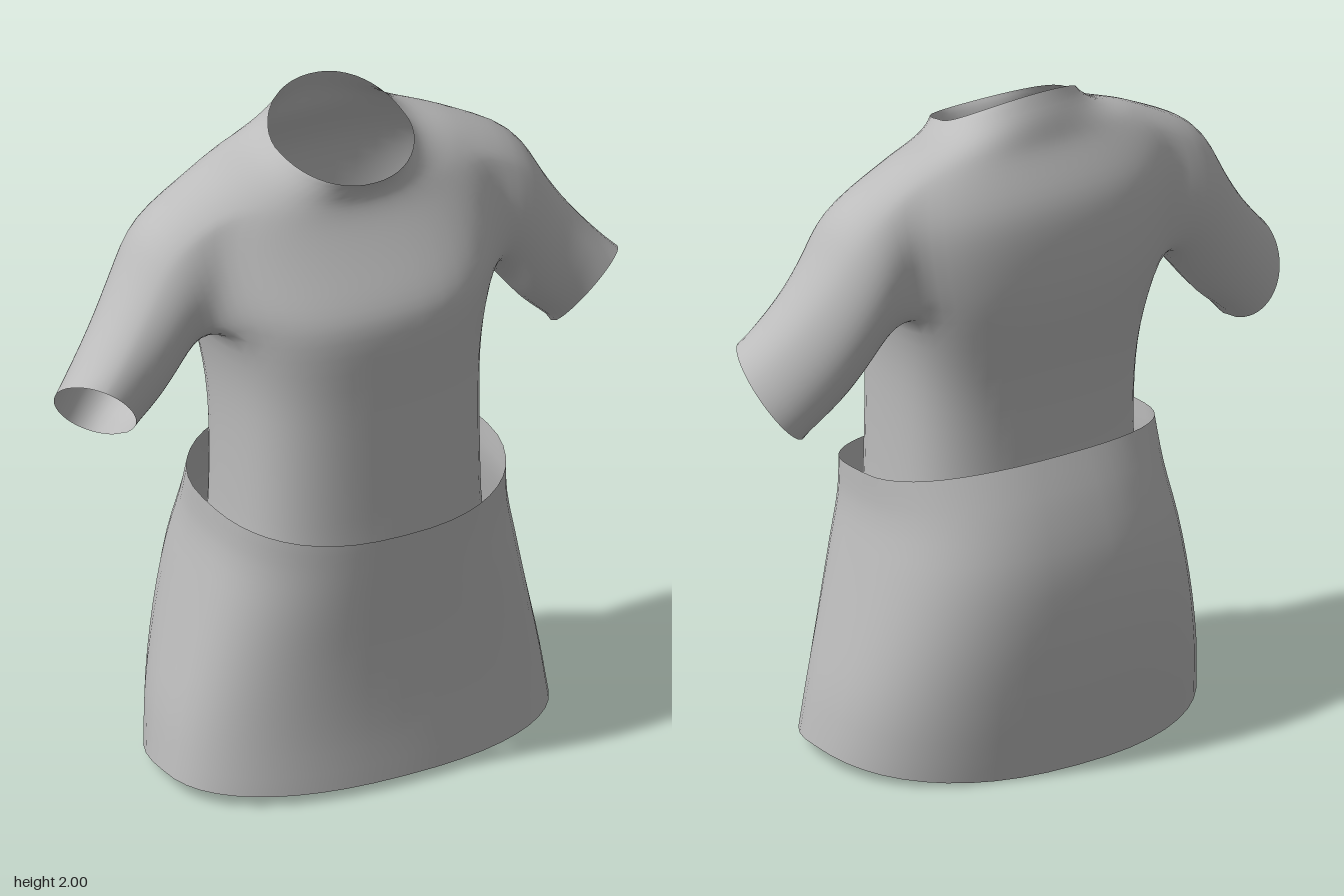
import * as THREE from 'three';

const N = 48;      // columns around the body
const SUB = 3;     // rows between two key sections
const V = (x, y, z) => new THREE.Vector3(x, y, z);

// Key sections, bottom to top:
// front y, side y, back y, half width, front z, back z, side z, squareness
const SHIRT = [
  [0.70, 0.70, 0.70, 0.385, 0.345, -0.250, 0.04, 2.7],
  [0.90, 0.90, 0.90, 0.380, 0.345, -0.247, 0.04, 2.7],
  [1.10, 1.10, 1.10, 0.380, 0.346, -0.257, 0.03, 2.7],
  [1.25, 1.25, 1.25, 0.392, 0.349, -0.280, 0.00, 2.7],
  [1.42, 1.40, 1.41, 0.428, 0.358, -0.308, -0.03, 2.7],
  [1.49, 1.50, 1.52, 0.460, 0.335, -0.311, -0.04, 2.65],
  [1.57, 1.60, 1.62, 0.480, 0.287, -0.305, -0.045, 2.6],
  [1.64, 1.69, 1.71, 0.485, 0.245, -0.288, -0.045, 2.5],
  [1.70, 1.77, 1.79, 0.465, 0.212, -0.247, -0.04, 2.4],
  [1.74, 1.825, 1.85, 0.410, 0.196, -0.214, -0.03, 2.3],
  [1.77, 1.855, 1.89, 0.330, 0.192, -0.202, -0.02, 2.2],
  [1.80, 1.875, 1.94, 0.255, 0.202, -0.188, 0.00, 2.1],
  [1.825, 1.90, 2.00, 0.208, 0.217, -0.157, 0.02, 2.1],
];
const SKIRT = [
  [0.025, 0.045, 0.00, 0.600, 0.400, -0.360, 0.08, 2.3],
  [0.20, 0.21, 0.20, 0.575, 0.385, -0.385, 0.06, 2.4],
  [0.40, 0.41, 0.42, 0.530, 0.380, -0.400, 0.05, 2.55],
  [0.56, 0.60, 0.62, 0.488, 0.385, -0.388, 0.05, 2.6],
  [0.69, 0.75, 0.79, 0.460, 0.393, -0.340, 0.05, 2.5],
  [0.79, 0.865, 0.927, 0.458, 0.400, -0.280, 0.05, 2.4],
];
const HOLE = { low: 4 * SUB, high: 9 * SUB, half: 4 }; // armhole rows and columns

// Sleeve sections: centre, radius towards the top, radius towards the front
const SLEEVE = [
  [V(0.525, 1.538, -0.037), V(0.060, 0.195, 0), V(0, 0, 0.178)],
  [V(0.605, 1.425, -0.03), V(0.056, 0.178, 0.005), V(-0.005, 0.005, 0.165)],
  [V(0.68, 1.32, -0.012), V(0.072, 0.145, 0.02), V(-0.02, 0.02, 0.146)],
  [V(0.787, 1.21, 0.018), V(0.085, 0.115, 0.04), V(-0.05, 0.045, 0.12)],
];

// A point on a section, squarer than an ellipse
function sectionPoint([yF, yS, yB, w, zF, zB, zS, square], angle) {
  const c = Math.cos(angle), s = Math.sin(angle), e = 2 / square;
  return V(
    w * Math.sign(c) * Math.pow(Math.abs(c), e),
    yS + ((s > 0 ? yF : yB) - yS) * Math.pow(Math.abs(s), 1.2),
    zS + ((s > 0 ? zF : zB) - zS) * Math.pow(Math.abs(s), e)
  );
}

// Loft through the key sections; returns points row by row
function loft(keys) {
  const rows = (keys.length - 1) * SUB;
  const points = [];
  const columns = Array.from({ length: N }, (_, c) =>
    new THREE.CatmullRomCurve3(keys.map((k) => sectionPoint(k, (c / N) * Math.PI * 2))));
  for (let r = 0; r <= rows; r++) {
    for (const curve of columns) points.push(curve.getPoint(r / rows));
  }
  return { points, rows };
}

const at = (r, c) => r * N + ((c + N) % N);

// Faces of a lofted grid, leaving out cells for which skip() is true
function gridFaces(rows, skip = () => false) {
  const index = [];
  for (let r = 0; r < rows; r++) {
    for (let c = 0; c < N; c++) {
      if (skip(r, c)) continue;
      const a = at(r, c), b = at(r + 1, c), d = at(r, c + 1), e = at(r + 1, c + 1);
      index.push(a, b, d, b, e, d);
    }
  }
  return index;
}

// Even out the surface while keeping open edges in place
function relax(points, index, fixed, passes) {
  const near = points.map(() => new Set());
  for (let i = 0; i < index.length; i += 3) {
    for (let k = 0; k < 3; k++) {
      const a = index[i + k], b = index[i + ((k + 1) % 3)];
      near[a].add(b);
      near[b].add(a);
    }
  }
  for (let n = 0; n < passes; n++) {
    const old = points.map((p) => p.clone());
    points.forEach((p, i) => {
      if (fixed.has(i) || !near[i].size) return;
      const mean = V(0, 0, 0);
      near[i].forEach((j) => mean.add(old[j]));
      p.lerp(mean.divideScalar(near[i].size), 0.5);
    });
  }
}

function toMesh(name, points, index, material) {
  const geometry = new THREE.BufferGeometry().setFromPoints(points);
  geometry.setIndex(index);
  geometry.computeVertexNormals();
  const mesh = new THREE.Mesh(geometry, material);
  mesh.name = name;
  return mesh;
}

// Indices round the armhole centred on one column
function armholeLoop(mid) {
  const { low, high, half } = HOLE, loop = [];
  for (let c = -half; c < half; c++) loop.push(at(low, mid + c));
  for (let r = low; r < high; r++) loop.push(at(r, mid + half));
  for (let c = half; c > -half; c--) loop.push(at(high, mid + c));
  for (let r = high; r > low; r--) loop.push(at(r, mid - half));
  return loop;
}

// Grow a sleeve out of the armhole; returns the cuff indices
function addSleeve(points, index, side) {
  const loop = armholeLoop(side > 0 ? 0 : N / 2), steps = 16;
  const centre = loop.reduce((m, i) => m.add(points[i]), V(0, 0, 0)).divideScalar(loop.length);
  const mirror = V(side, 1, 1);
  const paths = loop.map((i) => {
    const p = points[i];
    const phi = Math.atan2((p.z - centre.z) / 0.16, (p.y - centre.y) / 0.21);
    const stops = SLEEVE.map(([c, up, front]) => c.clone()
      .addScaledVector(up, Math.cos(phi)).addScaledVector(front, Math.sin(phi)).multiply(mirror));
    return new THREE.CatmullRomCurve3([p.clone(), ...stops]);
  });
  let ring = loop;
  for (let s = 1; s <= steps; s++) {
    const next = paths.map((path) => points.push(path.getPoint(s / steps)) - 1);
    ring.forEach((a, k) => {
      const m = (k + 1) % ring.length;
      index.push(a, next[k], ring[m], next[k], next[m], ring[m]);
    });
    ring = next;
  }
  return ring;
}

function makeShirt(material) {
  const { points, rows } = loft(SHIRT);
  const { low, high, half } = HOLE;
  const inHole = (r, c) => r >= low && r < high &&
    [0, N / 2].some((mid) => (c - mid + half + N) % N < 2 * half);
  const index = gridFaces(rows, inHole);
  const fixed = new Set();
  for (let c = 0; c < N; c++) fixed.add(at(0, c)).add(at(rows, c));
  for (const side of [1, -1]) addSleeve(points, index, side).forEach((i) => fixed.add(i));
  relax(points, index, fixed, 4);
  return toMesh('shirt', points, index, material);
}

function makeSkirt(material) {
  const { points, rows } = loft(SKIRT);
  return toMesh('skirt', points, gridFaces(rows), material);
}

export function createModel() {
  const cloth = new THREE.MeshStandardMaterial({ color: 0xbcbcbc, side: THREE.DoubleSide });
  cloth.name = 'grey cloth';
  const outfit = new THREE.Group();
  outfit.name = 'outfit';
  outfit.add(makeShirt(cloth), makeSkirt(cloth));
  return outfit;
}
